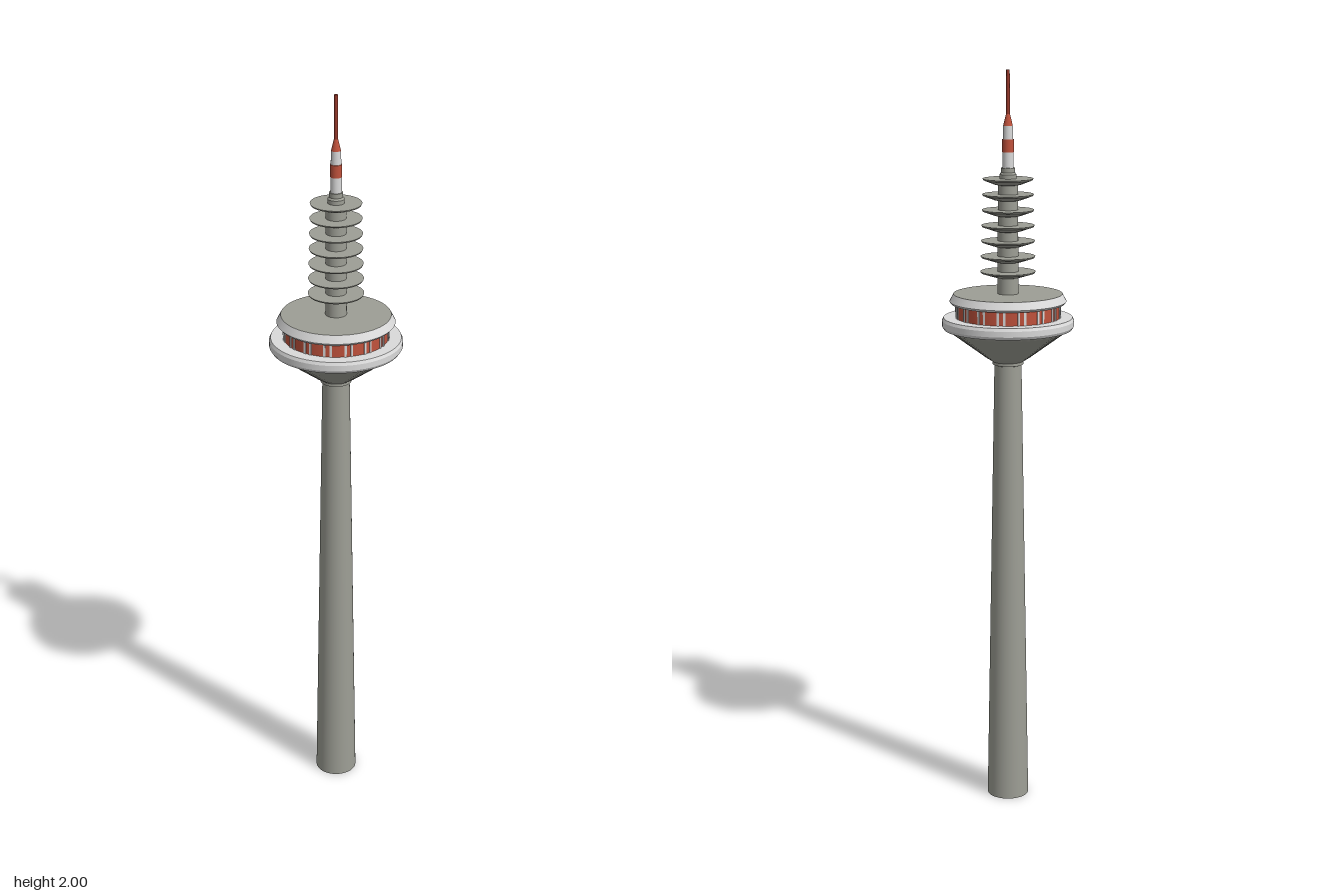
import * as THREE from 'three';
import { mergeGeometries } from 'three/addons/utils/BufferGeometryUtils.js';

// Surface of revolution with a crisp edge at every profile point
function turned(profile, segments = 64) {
  const bands = [];
  for (let i = 0; i < profile.length - 1; i++) {
    const pair = [profile[i], profile[i + 1]].map(([r, y]) => new THREE.Vector2(r, y));
    bands.push(new THREE.LatheGeometry(pair, segments));
  }
  return mergeGeometries(bands);
}

export function createModel() {
  const tower = new THREE.Group();
  tower.name = 'tower';

  const paint = (name, color) => {
    const m = new THREE.MeshStandardMaterial({ color });
    m.name = name;
    return m;
  };
  const concrete = paint('concrete grey', 0x9d9e95);
  const openConcrete = paint('shaft grey', 0x9d9e95);
  openConcrete.side = THREE.DoubleSide;
  const white = paint('white', 0xdadada);
  const red = paint('signal red', 0xc0523c);
  const darkRed = paint('dark red', 0x9a3a2c);

  const add = (name, geometry, material, parent = tower) => {
    const mesh = new THREE.Mesh(geometry, material);
    mesh.name = name;
    parent.add(mesh);
    return mesh;
  };

  // Tapered shaft, open at the foot
  add('shaft', turned([[0.057, 0], [0.036, 1.24]], 48), openConcrete);
  add('collar', turned([[0.035, 1.228], [0.041, 1.23], [0.041, 1.242]], 48), concrete);

  // Ribbed funnel under the pod: every second line of vertices is pulled in
  const funnel = new THREE.LatheGeometry(
    [[0.041, 1.238], [0.06, 1.25], [0.152, 1.318], [0.16, 1.328]].map(([r, y]) => new THREE.Vector2(r, y)), 96);
  const pos = funnel.attributes.position;
  for (let i = 0; i < pos.count; i++) {
    if (Math.floor(i / 4) % 2 && i % 4 > 0 && i % 4 < 3) {
      pos.setX(i, pos.getX(i) * 0.985);
      pos.setZ(i, pos.getZ(i) * 0.985);
    }
  }
  const ribbed = funnel.toNonIndexed();
  ribbed.computeVertexNormals();
  add('funnel', ribbed, concrete);

  // Pod: lower gallery ring, window band, upper ring and roof
  add('galleryRing', turned([
    [0.152, 1.323], [0.17, 1.326], [0.175, 1.334], [0.175, 1.349], [0.171, 1.357], [0.13, 1.357],
  ]), white);
  add('windowBand', turned([[0.138, 1.356], [0.138, 1.398]]), red);
  add('upperRing', turned([
    [0.135, 1.394], [0.15, 1.394], [0.155, 1.4], [0.144, 1.42],
  ]), white);
  add('roof', turned([[0.144, 1.42], [0.02, 1.42]]), concrete);

  // Pale window bars, in pairs around the band
  const bars = new THREE.Group();
  bars.name = 'windowBars';
  tower.add(bars);
  for (let i = 0; i < 16; i++) {
    for (const offset of [-0.06, 0.06]) {
      const a = ((i + 0.5) / 16) * Math.PI * 2 + offset;
      const bar = add('windowBar', new THREE.BoxGeometry(0.006, 0.038, 0.004), white, bars);
      bar.position.set(Math.sin(a) * 0.138, 1.376, Math.cos(a) * 0.138);
      bar.rotation.y = a;
    }
  }

  // Upper mast with seven antenna platforms
  add('upperMast', turned([[0.028, 1.418], [0.026, 1.72]], 32), concrete);
  for (let i = 0; i < 7; i++) {
    const y = 1.474 + i * 0.0405;
    const r = 0.073 - i * 0.0011;
    add('platform', turned([
      [0.026, y - 0.012], [0.036, y - 0.01], [r - 0.002, y + 0.001], [r, y + 0.005], [0.01, y + 0.005],
    ], 48), concrete);
  }
  add('mastCap', turned([[0.022, 1.72], [0.022, 1.733], [0.018, 1.738], [0.018, 1.75], [0, 1.75]], 32), concrete);

  // Striped aerial
  const stripes = [
    ['aerialBase', 0.0145, 0.0145, 1.748, 1.79, white],
    ['aerialStripe', 0.015, 0.015, 1.79, 1.823, red],
    ['aerialMiddle', 0.0135, 0.0125, 1.823, 1.858, white],
    ['aerialCone', 0.0125, 0.005, 1.858, 1.888, red],
    ['spire', 0.005, 0.0045, 1.888, 2, darkRed],
  ];
  for (const [name, low, high, y0, y1, material] of stripes) {
    add(name, turned([[0, y0], [low, y0], [high, y1], [0, y1]], 24), material);
  }

  return tower;
}
